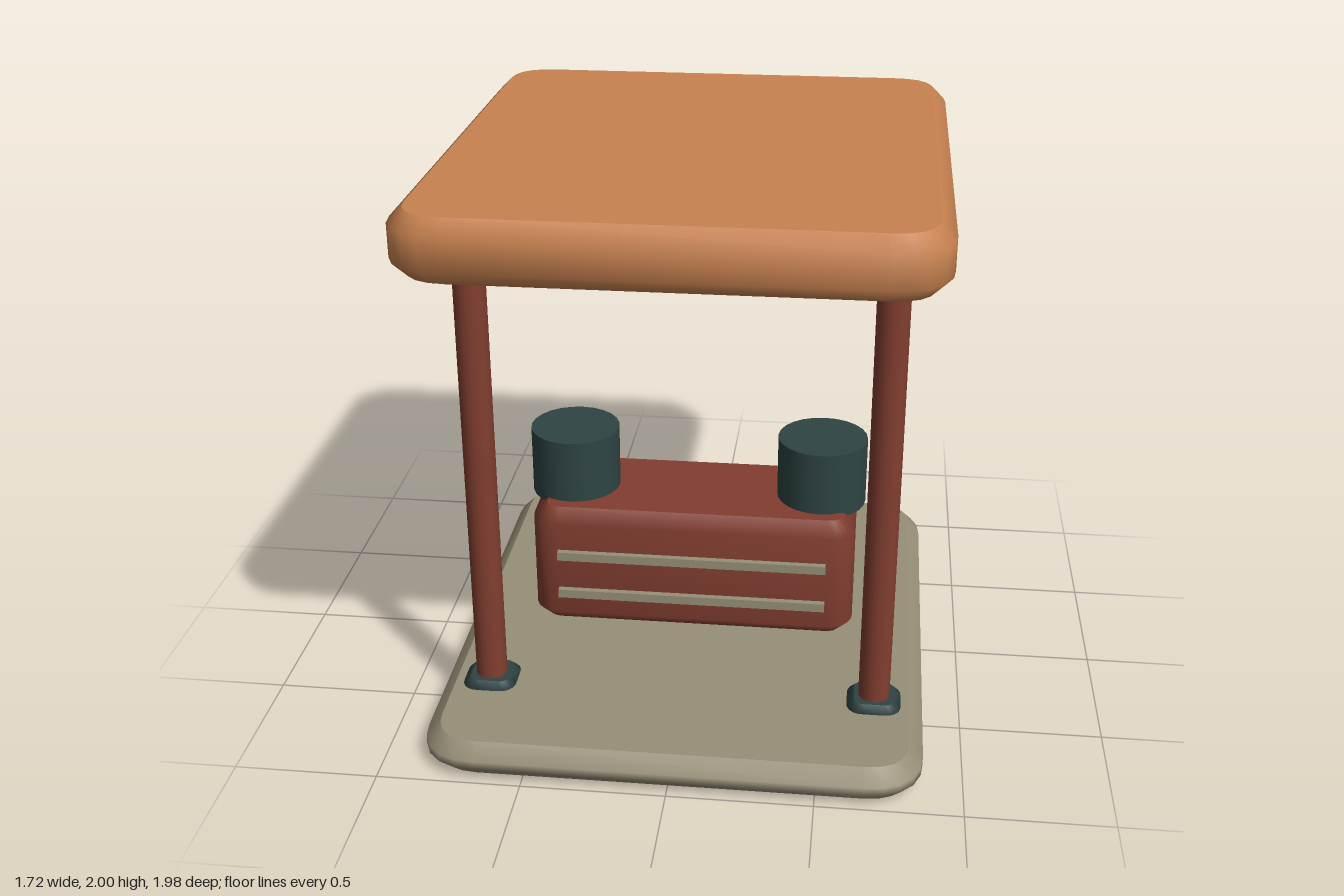
import * as THREE from 'three';
import { mergeVertices, mergeGeometries } from 'three/addons/utils/BufferGeometryUtils.js';

const paint = (name, color) => {
  const m = new THREE.MeshStandardMaterial({ color });
  m.name = name;
  return m;
};

// Rounded slab standing on y = 0: flat caps, smooth chamfered rim
function slab(w, h, d, radius, bevel) {
  const x = w / 2 - bevel, y = d / 2 - bevel, r = radius - bevel;
  const s = new THREE.Shape();
  s.moveTo(-x + r, -y);
  s.lineTo(x - r, -y);
  s.quadraticCurveTo(x, -y, x, -y + r);
  s.lineTo(x, y - r);
  s.quadraticCurveTo(x, y, x - r, y);
  s.lineTo(-x + r, y);
  s.quadraticCurveTo(-x, y, -x, y - r);
  s.lineTo(-x, -y + r);
  s.quadraticCurveTo(-x, -y, -x + r, -y);
  const g = new THREE.ExtrudeGeometry(s, {
    depth: h - 2 * bevel, bevelEnabled: true, bevelThickness: bevel,
    bevelSize: bevel, bevelSegments: 1, curveSegments: 5,
  });
  const pos = g.attributes.position.array;
  const [caps, rim] = g.groups.map(({ start, count }) => {
    const part = new THREE.BufferGeometry();
    part.setAttribute('position',
      new THREE.BufferAttribute(pos.slice(start * 3, (start + count) * 3), 3));
    return part;
  });
  const smoothRim = mergeVertices(rim, 1e-4);
  smoothRim.computeVertexNormals();
  caps.computeVertexNormals();
  const out = mergeGeometries([caps, smoothRim.toNonIndexed()]);
  out.translate(0, 0, bevel);
  out.rotateX(-Math.PI / 2);
  return out;
}

export function createModel() {
  const group = new THREE.Group();
  group.name = 'shelter';
  const orange = paint('orange roof', 0xc98250);
  const stone = paint('warm stone', 0x978f78);
  const rust = paint('rust red', 0x823e30);
  const teal = paint('dark teal', 0x2f4444);

  const add = (name, geometry, material, x, y, z) => {
    const m = new THREE.Mesh(geometry, material);
    m.name = name;
    m.position.set(x, y, z);
    group.add(m);
    return m;
  };

  // Floor and canopy
  add('base', slab(1.724, 0.13, 1.98, 0.2, 0.05), stone, 0, 0, 0);
  add('roof', slab(1.724, 0.21, 1.97, 0.2, 0.05), orange, 0, 1.79, 0);
  add('roofLamp', new THREE.CylinderGeometry(0.11, 0.11, 0.008, 24), stone, 0, 1.79, 0.55);

  // Front posts with their feet, and the drums on the cabinet
  const post = new THREE.CylinderGeometry(0.055, 0.055, 1.84, 20);
  const foot = slab(0.19, 0.05, 0.19, 0.06, 0.025);
  const drum = new THREE.CylinderGeometry(0.165, 0.165, 0.255, 24);
  for (const [side, s] of [['left', 1], ['right', -1]]) {
    add(side + 'Post', post, rust, s * 0.688, 0.921, 0.545);
    add(side + 'Foot', foot, teal, s * 0.688, 0.106, 0.545);
    add(side + 'Drum', drum, teal, s * 0.463, 0.7475, -0.037);
  }

  // Cabinet with two trim bars on its front
  add('cabinet', slab(1.194, 0.47, 0.524, 0.1, 0.05), rust, 0, 0.168, -0.04);
  const bar = new THREE.BoxGeometry(0.99, 0.033, 0.04);
  for (const y of [0.31, 0.468]) add('trimBar', bar, stone, 0, y, 0.225);

  return group;
}
